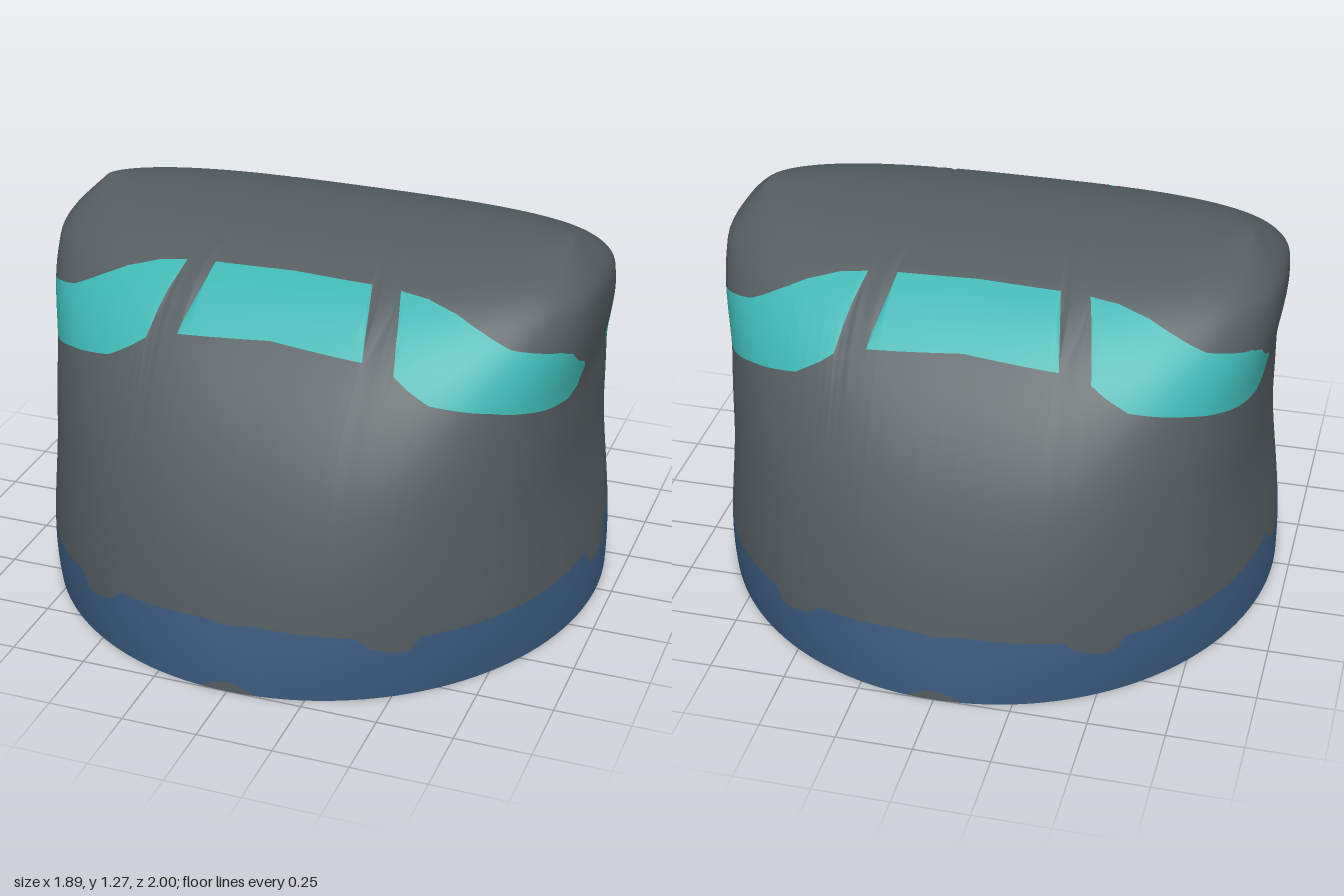
import * as THREE from 'three';
import { mergeVertices } from 'three/addons/utils/BufferGeometryUtils.js';

const H = 1.275; // crown height

// piecewise lookup through [position, value] pairs, linear or eased
function lookup(points, p, eased = false) {
  for (let i = 1; i < points.length; i++) {
    const [a, va] = points[i - 1], [b, vb] = points[i];
    if (p <= b) {
      let t = Math.max(0, (p - a) / (b - a));
      if (eased) t = t * t * (3 - 2 * t);
      return va + (vb - va) * t;
    }
  }
  return points[points.length - 1][1];
}

// half width over height: flared foot, slight waist, rounded shoulder
const WIDTH = [[0, 0.945], [0.04, 0.945], [0.6, 0.893], [0.8, 0.893], [1.08, 0.925], [1.13, 0.925], [1.36, 0.765]];

// colour borders as heights over the relative side position s = 0 (middle) to 1 (side)
const FOOT_PATCH = [[0, 0.035], [0.03, 0.03], [0.1, 0], [1, 0]];
const BAND_TOP = [[0, 0.235], [0.1, 0.245], [0.43, 0.228], [0.47, 0.19], [0.55, 0.165], [0.59, 0.17],
  [0.62, 0.215], [0.9954, 0.21], [0.998, 0.145], [1, 0.14]];
const WINDOW_LOW = [[0, 1.045], [0.335, 1.025], [0.4, 1.185], [0.45, 1.0], [0.5, 0.972], [0.59, 0.93],
  [0.79, 0.895], [0.887, 0.868], [0.95, 0.845], [0.982, 0.835], [0.9916, 0.85], [0.9964, 0.9], [1, 0.9]];
const WINDOW_HIGH = [[0, 1.195], [0.295, 1.19], [0.335, 1.025], [0.4, 1.185], [0.5, 1.175], [0.6, 1.15],
  [0.7, 1.11], [0.8, 1.065], [0.88, 1.045], [0.94, 1.025], [0.969, 1.0], [0.994, 0.93], [0.9964, 0.9], [1, 0.9]];

// point on the shell: plan sections go from an ellipse at the foot to a squarer oval on top
function shellPoint(s, y, sideX, sideZ) {
  const n = 2 + 0.83 * y;
  const depth = Math.pow(Math.max(0, 1 - Math.pow(y / H, 1.9)), 1 / 2.2);
  const z = depth * Math.pow(Math.max(0, 1 - Math.pow(s, n)), 1 / n);
  return [sideX * s * lookup(WIDTH, y, true), y, sideZ * z];
}

// relative positions of one quarter, with every corner of the colour borders included
function quarterColumns() {
  const list = [];
  for (let i = 0; i <= 64; i++) list.push(1 - Math.pow(1 - i / 64, 2.6));
  for (const border of [FOOT_PATCH, BAND_TOP, WINDOW_LOW, WINDOW_HIGH]) border.forEach(([s]) => list.push(s));
  list.sort((a, b) => a - b);
  return list.filter((s, i) => i === 0 || s - list[i - 1] > 1e-6);
}

export function createModel() {
  const shellGrey = new THREE.MeshStandardMaterial({ color: 0x545c60, side: THREE.DoubleSide });
  shellGrey.name = 'shellGrey';
  const bandBlue = new THREE.MeshStandardMaterial({ color: 0x3a5b7e, side: THREE.DoubleSide });
  bandBlue.name = 'bandBlue';
  const windowTeal = new THREE.MeshStandardMaterial({ color: 0x3db5b1, side: THREE.DoubleSide });
  windowTeal.name = 'windowTeal';

  // closed ring of columns: front from right to left, then back again behind
  const quarter = quarterColumns();
  const half = [...quarter.slice(1).reverse().map((s) => [s, -1]), ...quarter.map((s) => [s, 1])];
  const ring = [
    ...half.map(([s, sx]) => [s, sx, 1]),
    ...half.slice(1, -1).reverse().map(([s, sx]) => [s, sx, -1]),
  ];

  // strips stacked from foot to crown: rows and material number
  const strips = [[2, 0], [5, 1], [20, 0], [7, 2], [20, 0]];
  const rowMaterial = strips.flatMap(([rows, m]) => Array(rows).fill(m));
  const rowCount = rowMaterial.length;

  const positions = [];
  for (const [s, sx, sz] of ring) {
    const heights = [0, ...[FOOT_PATCH, BAND_TOP, WINDOW_LOW, WINDOW_HIGH].map((b) => lookup(b, s)), H];
    positions.push(...shellPoint(s, 0, sx, sz));
    strips.forEach(([rows], k) => {
      for (let r = 1; r <= rows; r++) {
        let t = r / rows;
        if (k === strips.length - 1) t = 1 - Math.pow(1 - t, 2.2); // finer rows near the crown
        positions.push(...shellPoint(s, heights[k] + (heights[k + 1] - heights[k]) * t, sx, sz));
      }
    });
  }

  // faces sorted by material
  const index = [];
  let geometry = new THREE.BufferGeometry();
  for (let m = 0; m < 3; m++) {
    const start = index.length;
    for (let i = 0; i < ring.length; i++) {
      const a = i * (rowCount + 1), b = ((i + 1) % ring.length) * (rowCount + 1);
      for (let r = 0; r < rowCount; r++) {
        if (rowMaterial[r] === m) index.push(a + r, b + r, b + r + 1, a + r, b + r + 1, a + r + 1);
      }
    }
    geometry.addGroup(start, index.length - start, m);
  }
  geometry.setAttribute('position', new THREE.Float32BufferAttribute(positions, 3));
  geometry.setIndex(index);
  geometry = mergeVertices(geometry, 1e-5);
  geometry.computeVertexNormals();

  const shell = new THREE.Mesh(geometry, [shellGrey, bandBlue, windowTeal]);
  shell.name = 'shellWithWindowsAndBand';
  const group = new THREE.Group();
  group.name = 'domedCabin';
  group.add(shell);
  return group;
}
